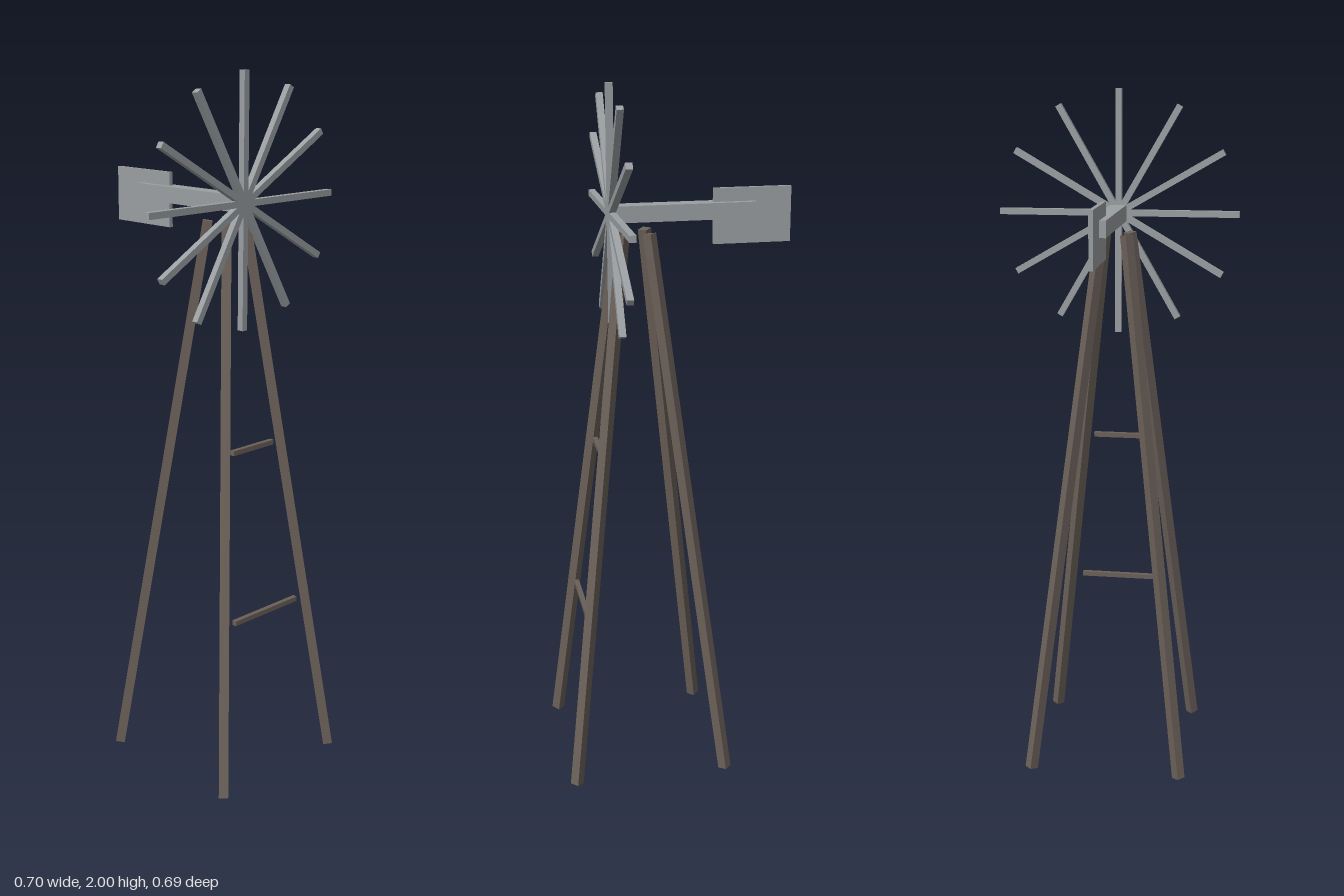
import * as THREE from 'three';

export function createModel() {
  const model = new THREE.Group();
  const wood = new THREE.MeshStandardMaterial({ color: 0x6b6059 });
  wood.name = 'weatheredWood';
  const metal = new THREE.MeshStandardMaterial({ color: 0x9a9fa2 });
  metal.name = 'greyMetal';

  const box = (parent, name, material, size, position) => {
    const mesh = new THREE.Mesh(new THREE.BoxGeometry(...size), material);
    mesh.name = name;
    mesh.position.set(...position);
    parent.add(mesh);
    return mesh;
  };

  // Four square legs leaning in towards the tower axis
  const tower = new THREE.Group();
  tower.name = 'tower';
  tower.position.z = 0.1;
  model.add(tower);
  const footRadius = 0.317, topRadius = 0.052, rise = 1.596;
  const lean = footRadius - topRadius;
  for (let i = 0; i < 4; i++) {
    const corner = new THREE.Group();
    corner.name = 'legCorner';
    corner.rotation.y = Math.PI / 4 + i * Math.PI / 2;
    tower.add(corner);
    const leg = box(corner, 'leg', wood, [0.027, Math.hypot(rise, lean), 0.027],
      [0, 0.8, (footRadius + topRadius) / 2]);
    leg.rotation.x = -Math.atan2(lean, rise);
  }

  // Rungs across the front legs
  box(model, 'lowerRung', wood, [0.254, 0.014, 0.014], [0, 0.49, 0.266]);
  box(model, 'upperRung', wood, [0.16, 0.014, 0.014], [0, 0.97, 0.207]);

  // Wheel: six full-width bars crossing at the hub make twelve blades
  const wheel = new THREE.Group();
  wheel.name = 'wheel';
  wheel.position.set(0, 1.65, 0.164);
  model.add(wheel);
  for (let i = 0; i < 6; i++) {
    box(wheel, 'bladePair', metal, [0.7, 0.018, 0.019], [0, 0, 0]).rotation.z = i * Math.PI / 6;
  }

  // Tail boom and vane
  box(model, 'tailBoom', metal, [0.047, 0.046, 0.402], [0, 1.65, -0.041]);
  box(model, 'tailVane', metal, [0.012, 0.156, 0.222], [0, 1.633, -0.235]);

  return model;
}
